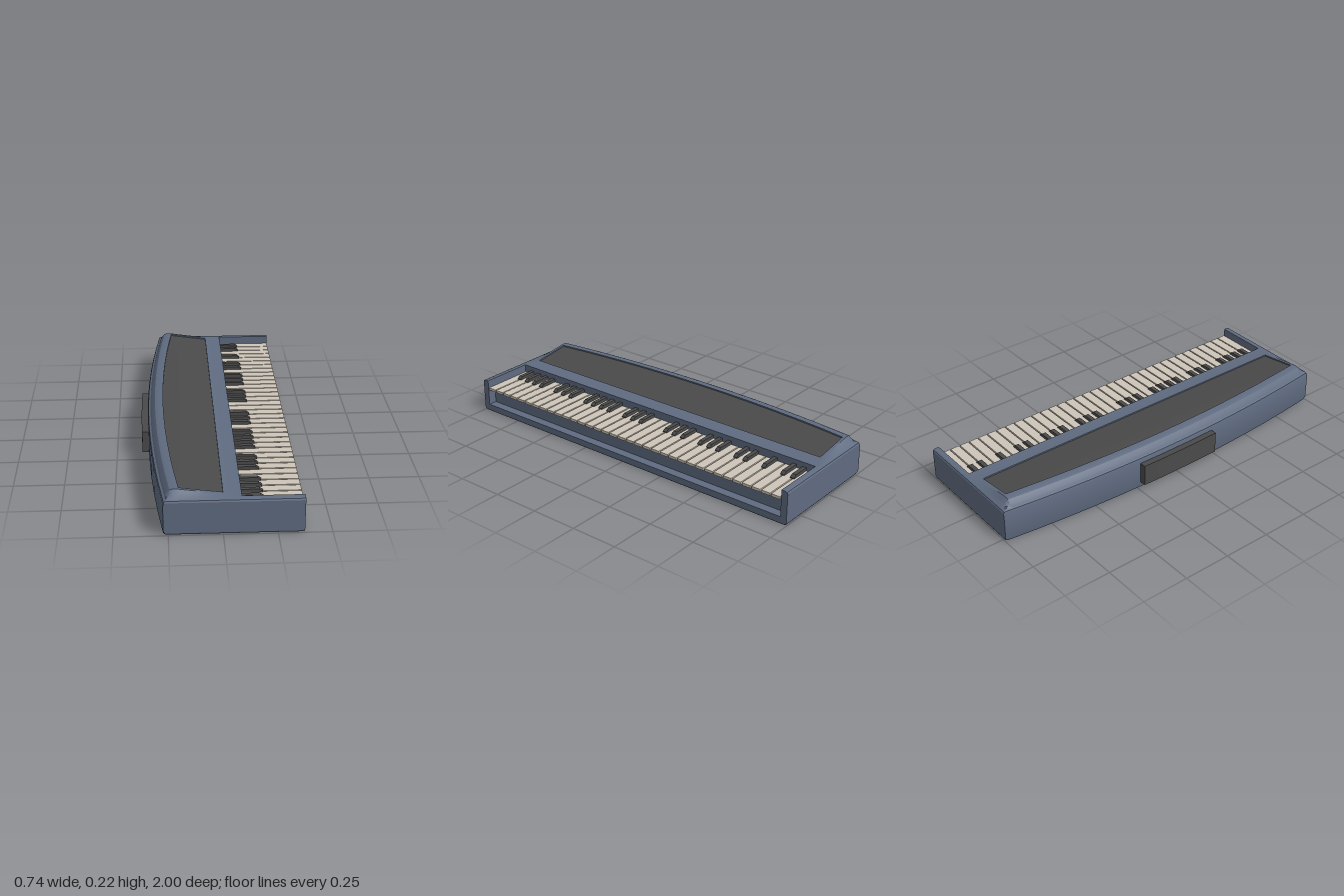
import * as THREE from 'three';
import { toCreasedNormals } from 'three/addons/utils/BufferGeometryUtils.js';

const material = (color, side = THREE.FrontSide) => new THREE.MeshStandardMaterial({ color, side });
const caseMaterial = material(0x5f6b80);
const darkMaterial = material(0x4a4a4a);
const panelMaterial = material(0x4a4a4a, THREE.DoubleSide);
const whiteMaterial = material(0xcdc5b8);

// Bowed rear edge of the case, and height of the raised deck above the case top
const backX = (z) => -0.34 + 0.067 * z * z;
const deckRise = (x) => 0.035 * Math.pow(THREE.MathUtils.clamp((0.05 - x) / 0.26, 0, 1), 1.08);

// Joins equal-length [x, y] profiles placed along z (from +z to -z)
function loft(sections, closed = true) {
  const out = [];
  const tri = (a, b, c) => {
    const area = b.clone().sub(a).cross(c.clone().sub(a)).length();
    if (area > 1e-9) out.push(...a.toArray(), ...b.toArray(), ...c.toArray());
  };
  const rows = sections.map(({ z, points }) => points.map(([x, y]) => new THREE.Vector3(x, y, z)));
  const n = rows[0].length;
  const edges = closed ? n : n - 1;
  for (let j = 0; j < rows.length - 1; j++) {
    for (let i = 0; i < edges; i++) {
      const k = (i + 1) % n;
      tri(rows[j][i], rows[j][k], rows[j + 1][k]);
      tri(rows[j][i], rows[j + 1][k], rows[j + 1][i]);
    }
  }
  if (closed) {
    [rows[0], rows[rows.length - 1]].forEach((row, end) => {
      const centre = new THREE.Vector3();
      row.forEach((p) => centre.addScaledVector(p, 1 / n));
      row.forEach((p, i) => {
        const q = row[(i + 1) % n];
        if (end === 0) tri(centre, q, p);
        else tri(centre, p, q);
      });
    });
  }
  const geometry = new THREE.BufferGeometry();
  geometry.setAttribute('position', new THREE.Float32BufferAttribute(out, 3));
  return toCreasedNormals(geometry, 0.45);
}

// Points across the sloping panel area, from its rear edge to its front edge
function panelPoints(z, top, deck, drop) {
  const rear = backX(z) + 0.08;
  return [0, 0.2, 0.4, 0.6, 0.8, 1].map((f) => {
    const x = rear * (1 - f);
    return [x, top + deck * deckRise(x) - drop];
  });
}

// Case cross-section: deck, well and recess switch features on (1) or off (0)
function caseProfile(z, inset, deck, well, recess) {
  const b = backX(z);
  const top = 0.18 - inset;
  const panel = panelPoints(z, top, deck, 0.009 * recess);
  const rim = panelPoints(z, top, deck, 0);
  const mix = (off, on) => off + (on - off) * well;
  return [
    [b + 0.016, inset], [b + 0.004, inset + 0.004], [b, inset + 0.014],
    [b, top - 0.016], [b + 0.004, top - 0.005], [b + 0.014, top],
    [b + 0.02, top + 0.011 * deck], [b + 0.038, top + 0.031 * deck], [b + 0.05, top + 0.035 * deck],
    rim[0], ...panel, rim[rim.length - 1],
    [0.05, top], [0.085, top],
    [0.085, mix(top, 0.125)], [0.325, mix(top, 0.125)],
    [mix(0.372, 0.325), mix(top, 0.038)], [0.372, mix(top, 0.038)],
    [0.372, inset + 0.004], [0.368, inset],
  ];
}

function mirrorSections(half) {
  return [...half, ...half.slice().reverse().map(([z, ...rest]) => [-z, ...rest])];
}

function add(parent, name, geometry, mat) {
  const mesh = new THREE.Mesh(geometry, mat);
  mesh.name = name;
  parent.add(mesh);
  return mesh;
}

export function createModel() {
  const model = new THREE.Group();
  model.name = 'keyboard';

  // Case with end cheeks, key well and raised deck
  const caseHalf = [
    [1, 0.012, 0, 0, 0], [0.996, 0.004, 0, 0, 0], [0.987, 0, 0, 0, 0],
    [0.965, 0, 0.65, 0, 0], [0.965, 0, 0.65, 1, 0],
    [0.953, 0, 1, 1, 0], [0.938, 0, 1, 1, 0], [0.938, 0, 1, 1, 1],
    ...[0.8, 0.65, 0.5, 0.35, 0.2, 0.07].map((z) => [z, 0, 1, 1, 1]),
  ];
  const caseSections = mirrorSections(caseHalf).map((s) => ({ z: s[0], points: caseProfile(...s) }));
  add(model, 'case', loft(caseSections), caseMaterial);

  // Dark panel lying in the deck recess
  const panelHalf = [0.938, 0.8, 0.65, 0.5, 0.35, 0.2, 0.07].map((z) => [z]);
  const panelSections = mirrorSections(panelHalf).map(([z]) => ({ z, points: panelPoints(z, 0.18, 1, 0.007) }));
  add(model, 'controlPanel', loft(panelSections, false), panelMaterial);

  // Bowed block on the rear
  const blockHalf = [0.235, 0.16, 0.08].map((z) => [z]);
  const blockSections = mirrorSections(blockHalf).map(([z]) => {
    const b = backX(z);
    const outer = b - 0.033;
    return { z, points: [[b + 0.01, 0.034], [outer, 0.034], [outer, 0.149], [b + 0.01, 0.149]] };
  });
  add(model, 'rearBlock', loft(blockSections), darkMaterial);

  // White keys, overhanging the front recess
  const pitch = 0.055;
  const firstKey = -0.96;
  const whiteKeys = new THREE.Group();
  whiteKeys.name = 'whiteKeys';
  const whiteGeometry = new THREE.BoxGeometry(0.284, 0.014, 0.048);
  for (let i = 0; i < 35; i++) {
    add(whiteKeys, 'whiteKey', whiteGeometry, whiteMaterial)
      .position.set(0.228, 0.132, firstKey + pitch * (i + 0.5));
  }
  model.add(whiteKeys);

  // Black keys with a sloping front
  const blackKeys = new THREE.Group();
  blackKeys.name = 'blackKeys';
  const side = new THREE.Shape([
    [0.085, 0.13], [0.19, 0.13], [0.19, 0.143], [0.174, 0.156], [0.085, 0.156],
  ].map(([x, y]) => new THREE.Vector2(x, y)));
  const blackGeometry = new THREE.ExtrudeGeometry(side, { depth: 0.022, bevelEnabled: false });
  blackGeometry.translate(0, 0, -0.011);
  const blackSlots = [1, 2, 4, 6, 7, 9, 10, 11, 13, 14, 15, 18, 19, 20, 22, 23, 24, 25, 27, 28, 29, 31, 32, 33, 34];
  for (const slot of blackSlots) {
    add(blackKeys, 'blackKey', blackGeometry, darkMaterial).position.z = firstKey + pitch * slot;
  }
  model.add(blackKeys);

  return model;
}
